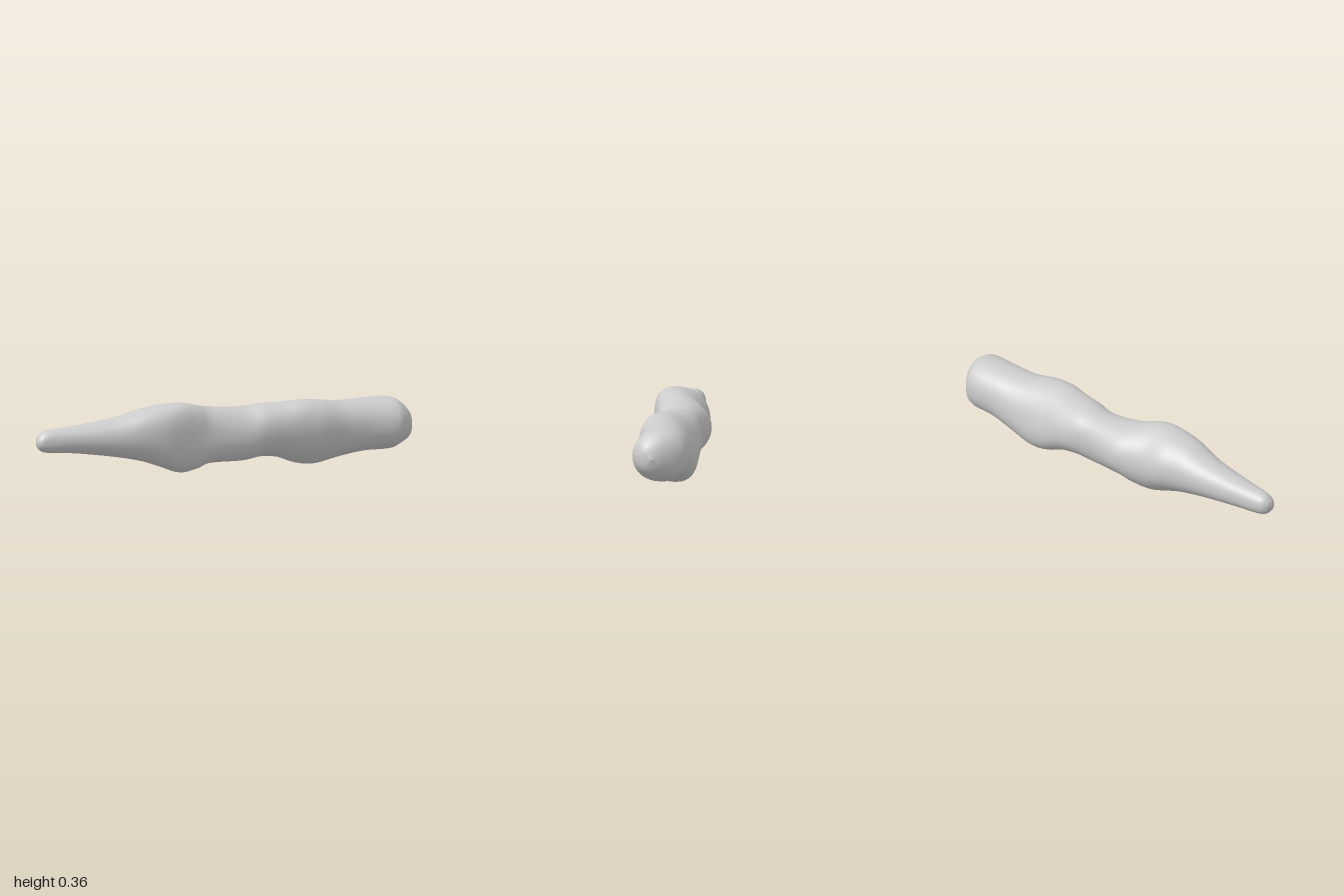
import * as THREE from 'three';

// Cross-sections along the length:
// x, bottom y, top y, back z, front z, z of the top ridge, z of the underside
const SECTIONS = [
  [-1, 0.2, 0.2, 0.005, 0.005, 0.005, 0.005],
  [-0.985, 0.165, 0.232, -0.03, 0.035, 0, 0],
  [-0.94, 0.145, 0.257, -0.053, 0.05, 0, 0],
  [-0.8, 0.135, 0.271, -0.07, 0.075, 0, 0],
  [-0.6, 0.108, 0.297, -0.09, 0.11, 0.01, 0.01],
  [-0.45, 0.078, 0.337, -0.11, 0.14, 0.03, 0.02],
  [-0.35, 0.045, 0.355, -0.13, 0.148, 0.04, 0.03],
  [-0.25, 0.01, 0.361, -0.13, 0.137, 0.05, 0.03],
  [-0.16, 0.02, 0.345, -0.147, 0.126, 0.03, 0.02],
  [-0.08, 0.045, 0.325, -0.157, 0.122, 0, 0.01],
  [0.1, 0.045, 0.311, -0.131, 0.122, -0.02, 0],
  [0.2, 0.058, 0.322, -0.14, 0.123, 0, -0.01],
  [0.3, 0.048, 0.325, -0.14, 0.13, 0.02, -0.02],
  [0.4, 0.012, 0.335, -0.135, 0.143, 0.04, -0.03],
  [0.5, 0.002, 0.33, -0.133, 0.15, 0.04, -0.03],
  [0.62, 0.03, 0.316, -0.13, 0.137, 0.02, -0.02],
  [0.75, 0.055, 0.319, -0.129, 0.138, 0.01, 0],
  [0.88, 0.06, 0.32, -0.123, 0.153, 0.01, 0.01],
  [0.93, 0.08, 0.305, -0.09, 0.142, 0.02, 0.02],
  [0.98, 0.122, 0.25, -0.01, 0.105, 0.05, 0.05],
  [1, 0.185, 0.185, 0.05, 0.05, 0.05, 0.05],
];

// Smooth curve through three columns of the section table
function columnCurve(a, b, c) {
  const points = SECTIONS.map((s) => new THREE.Vector3(s[a], s[b], s[c]));
  return new THREE.CatmullRomCurve3(points, false, 'catmullrom', 0.5);
}

// Closed skin lofted through the sections
function loftGeometry(rings, sides) {
  const heights = columnCurve(0, 1, 2);
  const widths = columnCurve(0, 3, 4);
  const ridges = columnCurve(0, 5, 6);
  const positions = [];
  const indices = [];
  const soften = (v) => Math.sign(v) * Math.abs(v) ** 0.92;

  for (let i = 0; i <= rings; i++) {
    const { x, y: low, z: high } = heights.getPoint(i / rings);
    const { y: back, z: front } = widths.getPoint(i / rings);
    const { y: topZ, z: bottomZ } = ridges.getPoint(i / rings);
    const cy = (low + high) / 2;
    const cz = (back + front) / 2;
    const tilt = (topZ - bottomZ) / 2;
    const bow = (topZ + bottomZ) / 2 - cz;
    const half = Math.sqrt(Math.max(((front - back) / 2) ** 2 - tilt ** 2, 0));
    for (let j = 0; j < sides; j++) {
      const t = (j / sides) * Math.PI * 2;
      const c = soften(Math.cos(t));
      const s = soften(Math.sin(t));
      positions.push(x, cy + ((high - low) / 2) * s, cz + half * c + tilt * s + bow * s * s);
      if (i === rings) continue;
      const a = i * sides + j;
      const b = i * sides + ((j + 1) % sides);
      // the first and last rings close to a point
      if (i < rings - 1) indices.push(a, a + sides, b + sides);
      else indices.push(a, a + sides, b);
      if (i > 0 && i < rings - 1) indices.push(a, b + sides, b);
    }
  }

  const geometry = new THREE.BufferGeometry();
  geometry.setAttribute('position', new THREE.Float32BufferAttribute(positions, 3));
  geometry.setIndex(indices);
  geometry.computeVertexNormals();
  return geometry;
}

export function createModel() {
  const model = new THREE.Group();
  model.name = 'lumpyTaperedStick';

  // One lumpy body, blunt at +x and tapering to -x
  const material = new THREE.MeshStandardMaterial({ color: 0xcccccc });
  const body = new THREE.Mesh(loftGeometry(120, 40), material);
  body.name = 'stickBody';
  model.add(body);
  return model;
}
